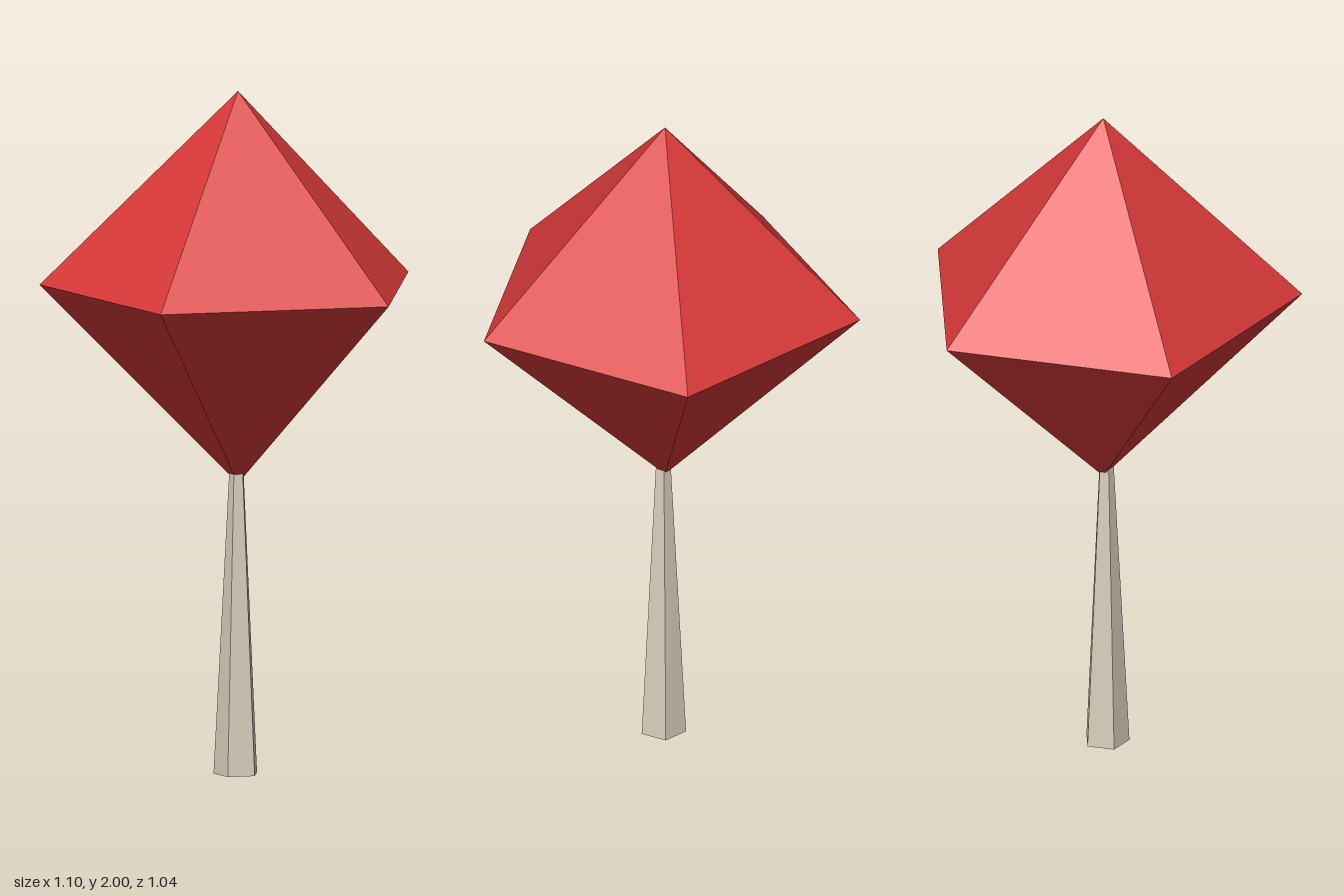
import * as THREE from 'three';

const SIDES = 5;

function lathe(points, material, name, z) {
  const profile = points.map(([r, y]) => new THREE.Vector2(r, y));
  const mesh = new THREE.Mesh(new THREE.LatheGeometry(profile, SIDES), material);
  mesh.name = name;
  mesh.position.z = z;
  return mesh;
}

export function createModel() {
  const model = new THREE.Group();
  model.name = 'lowPolyTree';

  const foliageRed = new THREE.MeshStandardMaterial({ color: 0xd93939, flatShading: true });
  foliageRed.name = 'foliage red';
  const barkBeige = new THREE.MeshStandardMaterial({ color: 0xd8cebb, flatShading: true });
  barkBeige.name = 'bark beige';

  // Tapered five-sided trunk, its top tucked into the crown
  model.add(lathe([[0, 0], [0.068, 0], [0.0215, 0.9]], barkBeige, 'trunk', -0.047));

  // Crown: five-sided double pyramid with one corner facing the front
  model.add(lathe([[0, 0.85], [0.577, 1.425], [0, 2]], foliageRed, 'crown', -0.055));

  return model;
}
